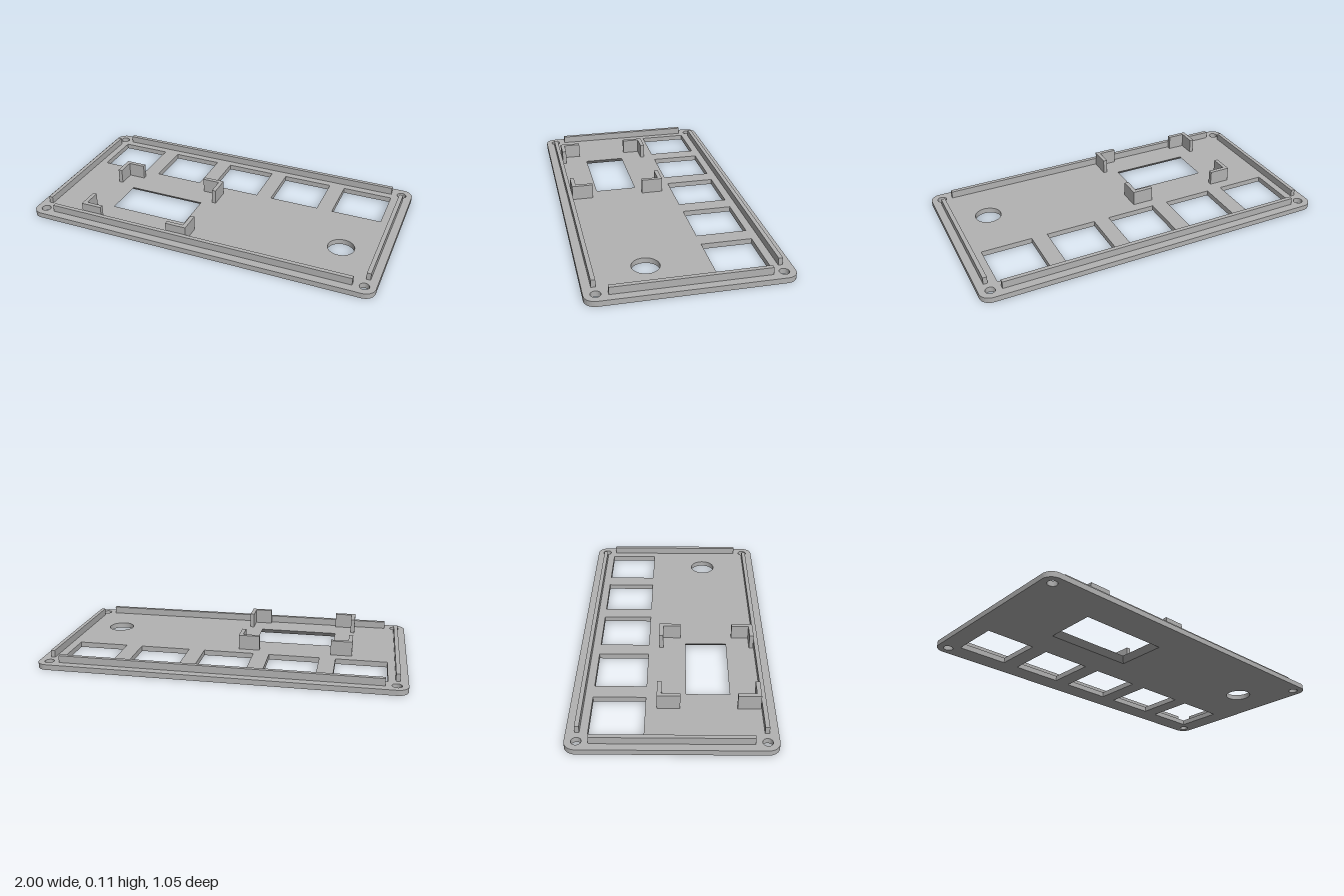
import * as THREE from 'three';
import { toCreasedNormals } from 'three/addons/utils/BufferGeometryUtils.js';

const T = 0.03;        // plate thickness
const W = 1, D = 0.526; // plate half sizes
const FLARE = 0.03;    // how far the display window widens underneath
const WIN = [-0.583, 0.07, -0.134, 0.3]; // x0, z0, x1, z1 at the top

const grey = new THREE.MeshStandardMaterial({ color: 0xb2b2b2 });
grey.name = 'panel grey';

const corners = ([x0, z0, x1, z1], grow = 0) => [
  [x0 - grow, z0 - grow], [x1 + grow, z0 - grow],
  [x1 + grow, z1 + grow], [x0 - grow, z1 + grow],
];

function add(parent, name, geometry) {
  const mesh = new THREE.Mesh(geometry, grey);
  mesh.name = name;
  parent.add(mesh);
  return mesh;
}

// Box standing on the plate, given its footprint and top height
function block(parent, name, x0, z0, x1, z1, top) {
  const mesh = add(parent, name, new THREE.BoxGeometry(x1 - x0, top - T, z1 - z0));
  mesh.position.set((x0 + x1) / 2, (top + T) / 2, (z0 + z1) / 2);
}

// Rounded plate with all its openings, drawn in x and z
function plateGeometry() {
  const r = 0.06;
  const shape = new THREE.Shape();
  shape.absarc(W - r, D - r, r, 0, Math.PI / 2);
  shape.absarc(-W + r, D - r, r, Math.PI / 2, Math.PI);
  shape.absarc(-W + r, -D + r, r, Math.PI, Math.PI * 1.5);
  shape.absarc(W - r, -D + r, r, Math.PI * 1.5, Math.PI * 2);
  shape.closePath();

  const rectHole = (pts) =>
    shape.holes.push(new THREE.Path(pts.map(([x, z]) => new THREE.Vector2(x, z))));
  const roundHole = (x, z, radius) =>
    shape.holes.push(new THREE.Path().absarc(x, z, radius, 0, Math.PI * 2, true));

  // row of five square openings
  for (let i = 0; i < 5; i++) {
    const x = -0.752 + i * 0.374;
    rectHole(corners([x - 0.142, -0.415, x + 0.142, -0.139]));
  }
  rectHole(corners(WIN, FLARE));
  roundHole(0.745, 0.187, 0.073);
  for (const sx of [-1, 1]) for (const sz of [-1, 1]) roundHole(sx * 0.94, sz * 0.466, 0.026);

  const geo = new THREE.ExtrudeGeometry(shape, { depth: T, bevelEnabled: false, curveSegments: 16 });
  geo.rotateX(Math.PI / 2).translate(0, T, 0);
  return toCreasedNormals(geo, 0.6);
}

// Sloping frame inside the display window, flush with the plate on top
function bezelGeometry() {
  const loop = (grow, y) => corners(WIN, grow).map(([x, z]) => [x, y, z]);
  const loops = [loop(FLARE, 0), loop(0, T), loop(FLARE, T)];
  const pos = [];
  for (let k = 0; k < 2; k++) {
    const a = loops[k], b = loops[k + 1];
    for (let i = 0; i < 4; i++) {
      const j = (i + 1) % 4;
      pos.push(...a[i], ...a[j], ...b[j], ...a[i], ...b[j], ...b[i]);
    }
  }
  const geo = new THREE.BufferGeometry();
  geo.setAttribute('position', new THREE.Float32BufferAttribute(pos, 3));
  geo.computeVertexNormals();
  return geo;
}

export function createModel() {
  const model = new THREE.Group();
  model.name = 'frontPanel';

  add(model, 'plate', plateGeometry());
  add(model, 'windowBezel', bezelGeometry());

  // Locating rails along the four edges
  const railTop = 0.07;
  block(model, 'backRail', -0.88, -0.48, 0.88, -0.457, railTop);
  block(model, 'frontRail', -0.88, 0.457, 0.88, 0.48, railTop);
  block(model, 'rightRail', -0.957, -0.406, -0.934, 0.406, railTop);
  block(model, 'leftRail', 0.934, -0.406, 0.957, 0.406, railTop);

  // L-shaped brackets around the display window
  const cx = -0.375, cz = 0.187, hx = 0.323, hz = 0.267, arm = 0.12, thick = 0.023;
  for (const sx of [-1, 1]) for (const sz of [-1, 1]) {
    const bracket = new THREE.Group();
    bracket.name = 'displayBracket';
    const span = (c, s, from, to) => [c + s * from, c + s * to].sort((p, q) => p - q);
    const piece = (name, lenX, lenZ, startZ) => {
      const [x0, x1] = span(cx, sx, hx, hx - lenX);
      const [z0, z1] = span(cz, sz, hz - startZ, hz - lenZ);
      block(bracket, name, x0, z0, x1, z1, 0.113);
    };
    piece('bracketLongArm', arm, thick, 0);
    piece('bracketSideArm', thick, arm, thick);
    model.add(bracket);
  }
  return model;
}
